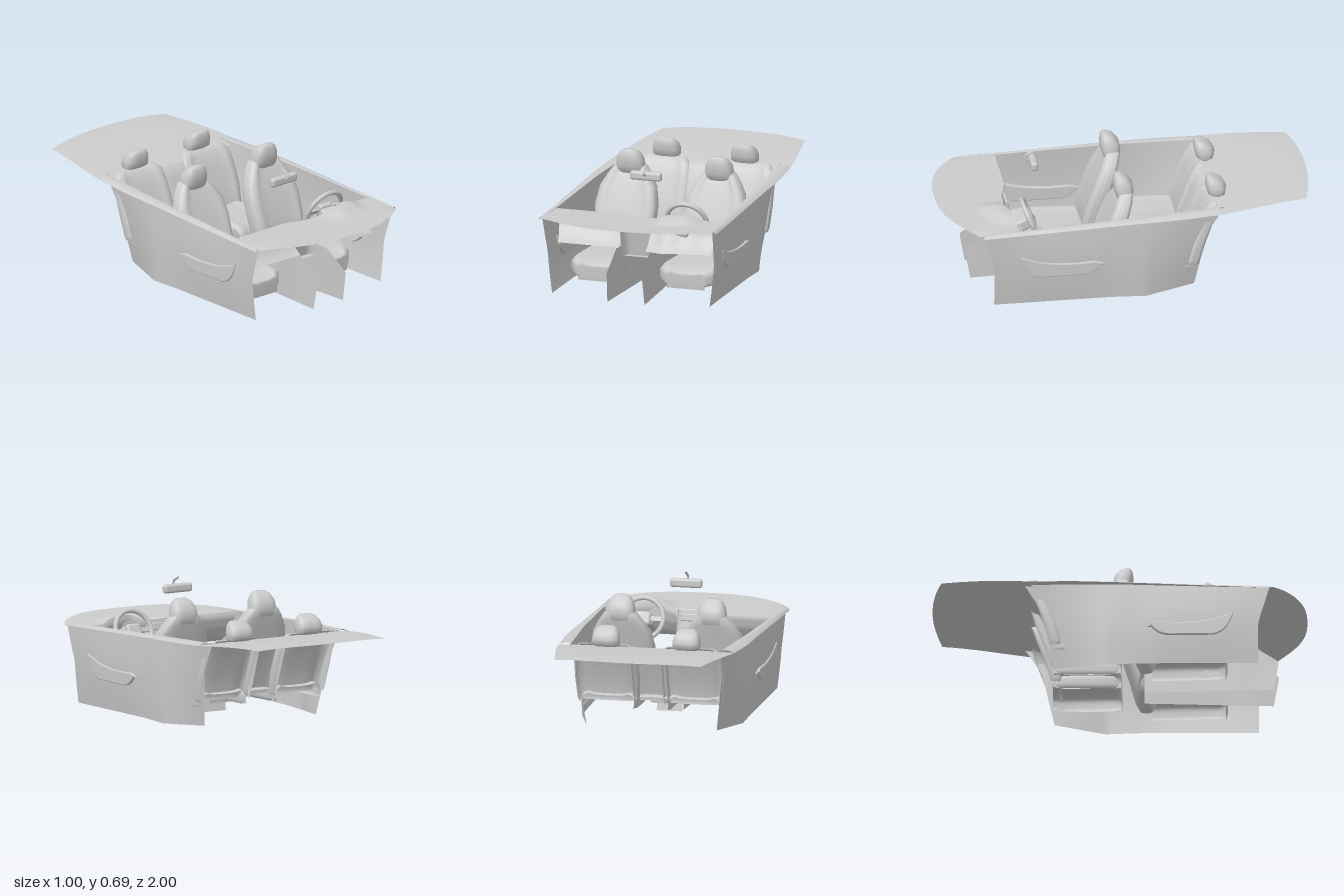
import * as THREE from 'three';
import { RoundedBoxGeometry } from 'three/addons/geometries/RoundedBoxGeometry.js';

const solid = new THREE.MeshStandardMaterial({ color: 0xcccccc });
const thin = new THREE.MeshStandardMaterial({ color: 0xcccccc, side: THREE.DoubleSide });
const V = (x, y, z) => new THREE.Vector3(x, y, z);
const mix = THREE.MathUtils.lerp;

// Piecewise linear lookup in ascending [t, value] pairs
function table(t, pts) {
  if (t <= pts[0][0]) return pts[0][1];
  for (let i = 1; i < pts.length; i++) {
    const [a, va] = pts[i - 1], [b, vb] = pts[i];
    if (t <= b) return mix(va, vb, (t - a) / (b - a));
  }
  return pts[pts.length - 1][1];
}

function add(parent, name, geo, mat = solid) {
  const m = new THREE.Mesh(geo, mat);
  m.name = name;
  parent.add(m);
  return m;
}

// Grid surface from f(u, v) -> [x, y, z], u and v in 0..1
function sheet(f, nu, nv) {
  const pos = [], idx = [];
  for (let j = 0; j <= nv; j++) for (let i = 0; i <= nu; i++) pos.push(...f(i / nu, j / nv));
  for (let j = 0; j < nv; j++) for (let i = 0; i < nu; i++) {
    const a = j * (nu + 1) + i, b = a + 1, c = a + nu + 1, d = c + 1;
    idx.push(a, b, d, a, d, c);
  }
  const g = new THREE.BufferGeometry();
  g.setAttribute('position', new THREE.Float32BufferAttribute(pos, 3));
  g.setIndex(idx);
  g.computeVertexNormals();
  return g;
}

// Upholstered body: rounded sections [x, y, z, halfWidth, halfDepth] along a path.
// The depth axis is z for upright bodies and y for lying ones. An open body is a
// shell without its hidden side; dish hollows the middle of the visible side.
function cushion(sections, { upright = false, open = false, dish = 0, power = 0.55 }) {
  const first = sections[0], last = sections[sections.length - 1];
  const rows = [[...first.slice(0, 3), 0, 0], ...sections, [...last.slice(0, 3), 0, 0]];
  if (open) { rows.shift(); rows.pop(); }
  const pw = (c) => Math.sign(c) * Math.pow(Math.abs(c), power);
  return sheet((u, v) => {
    const [x, y, z, w, d] = rows[Math.round(v * (rows.length - 1))];
    const a = open ? mix(-0.15, 1.15, u) * Math.PI : u * Math.PI * 2;
    const cx = pw(Math.cos(a));
    let off = pw(Math.sin(a)) * d;
    if (off > 0) off -= dish * Math.max(0, 1 - Math.pow(Math.abs(cx) / 0.75, 4));
    return upright ? [x + cx * w, y, z + off] : [x + cx * w, y + off, z];
  }, 40, rows.length - 1);
}

function seat(name, parts, openBack) {
  const g = new THREE.Group();
  g.name = name;
  add(g, 'seatCushion', cushion(parts.cushion, { open: true, dish: 0.015 }), thin);
  add(g, 'backrest', cushion(parts.back, { upright: true, open: openBack, dish: 0.018 }), thin);
  add(g, 'headrest', cushion(parts.head, { upright: true, power: 0.7 }), thin);
  return g;
}

// Height of the belt line and half widths of the sill along z
const beltY = (z) => table(z, [[-0.5, 0.49], [0, 0.475], [0.8, 0.44]]);
const sillOuter = (z) => table(z, [[-0.95, 0.4], [-0.63, 0.46], [-0.47, 0.48], [-0.25, 0.498], [0.8, 0.5]]);
const sillInner = (z) => table(z, [[-0.5, 0.41], [0, 0.445], [0.6, 0.465], [0.8, 0.48]]);

export function createModel() {
  const root = new THREE.Group();
  root.name = 'carInterior';

  // Dashboard top with a hood over the instruments
  const hood = (x) => Math.exp(-Math.pow((x - 0.24) / 0.11, 4));
  const rearZ = (x) => 0.605 + 0.035 * Math.exp(-Math.pow((x - 0.08) / 0.15, 4)) + 0.02 * hood(x);
  const dashY = (x, v) => 0.455 - 0.01 * v - 0.015 * Math.pow(Math.abs(x) / 0.48, 6) * (1 - v)
    + 0.035 * hood(x) * table(v, [[0.55, 0], [0.85, 1], [1, 0.9]]);
  add(root, 'dashboardTop', sheet((u, v) => {
    const s = u * 2 - 1, x = s * mix(0.485, 0.465, v);
    return [x, dashY(x, v), mix(1 - 0.18 * Math.abs(s) ** 2.5, rearZ(x), v)];
  }, 48, 16), thin);

  // Dashboard face on either side of the centre stack, curling under to the footwell
  for (const [x0, x1] of [[-1, -0.2], [0.18, 1]]) {
    add(root, 'dashboardFace', sheet((u, v) => {
      const x = mix(x0, x1, u) * mix(0.465, 0.43, v);
      return [x, mix(dashY(x, 1), 0.28, v),
        rearZ(x) + table(v, [[0, 0], [0.15, -0.008], [0.5, 0.01], [0.85, 0.05], [1, 0.085]])];
    }, 24, 12), thin);
  }

  // Centre stack sloping down to the console
  add(root, 'centreStack', sheet((u, v) => {
    const s = u * 2 - 1;
    return [s * 0.088, mix(0.443, 0.215, v), mix(0.632, 0.58, v) + 0.05 * s ** 8];
  }, 16, 6), thin);
  const screen = add(root, 'stackScreen', new RoundedBoxGeometry(0.11, 0.04, 0.015, 2, 0.006));
  screen.position.set(0, 0.405, 0.613);
  screen.rotation.x = 0.2;

  // Instrument dials
  for (const x of [0.19, 0.29]) {
    const dial = add(root, 'instrumentDial', new THREE.CylinderGeometry(0.045, 0.045, 0.03, 24));
    dial.position.set(x, 0.415, 0.65);
    dial.rotation.x = Math.PI / 2;
    dial.scale.z = 0.6;
  }

  // Steering wheel, leaning forward at the top
  const wheel = new THREE.Group();
  wheel.name = 'steeringWheel';
  wheel.position.set(0.24, 0.412, 0.515);
  wheel.rotation.x = 0.42;
  add(wheel, 'wheelRim', new THREE.TorusGeometry(0.112, 0.013, 10, 40));
  add(wheel, 'wheelHub', new RoundedBoxGeometry(0.09, 0.075, 0.035, 3, 0.016));
  for (const [x, y, w, h] of [[-0.075, 0, 0.07, 0.025], [0.075, 0, 0.07, 0.025], [0, -0.07, 0.035, 0.07]]) {
    add(wheel, 'wheelSpoke', new THREE.BoxGeometry(w, h, 0.012)).position.set(x, y, 0);
  }
  add(wheel, 'columnShroud', new RoundedBoxGeometry(0.1, 0.065, 0.13, 3, 0.015)).position.set(0, 0, 0.08);
  const stalk = add(wheel, 'columnStalk', new THREE.CylinderGeometry(0.005, 0.007, 0.09, 8));
  stalk.rotation.z = Math.PI / 2;
  stalk.position.set(0.08, 0.01, 0.065);
  root.add(wheel);

  // Doors, armrests, sills and tunnel walls on both sides
  for (const s of [-1, 1]) {
    const side = s > 0 ? 'left' : 'right';
    add(root, side + 'DoorPanel', sheet((u, v) => {
      const zFront = table(v, [[0, 0.74], [0.53, 0.74], [1, 0.8]]);
      const zBack = table(v, [[0, -0.35], [0.7, -0.42], [1, -0.51]]);
      const z = mix(zBack, zFront, u);
      const low = table(z, [[-0.4, 0.34], [-0.08, 0.44], [0.8, 0.445]]);
      const bulge = 0.008 + 0.008 * Math.exp(-(((z - 0.38) / 0.25) ** 4));
      const base = table(z, [[-0.35, 0.02], [-0.08, 0.005], [0.1, 0.012]]);
      return [s * (mix(low, sillInner(z), v) + bulge * Math.sin(v * Math.PI)), mix(base, beltY(z), v), z];
    }, 40, 16), thin);

    const arm = new THREE.Shape();
    arm.moveTo(-0.6, 0.29);
    arm.quadraticCurveTo(-0.57, 0.19, -0.5, 0.175);
    arm.lineTo(-0.26, 0.175);
    arm.quadraticCurveTo(-0.2, 0.18, -0.17, 0.23);
    arm.lineTo(-0.2, 0.24);
    arm.quadraticCurveTo(-0.45, 0.22, -0.6, 0.29);
    const rest = add(root, side + 'Armrest', new THREE.ExtrudeGeometry(arm, {
      depth: 0.016, bevelEnabled: true, bevelSize: 0.006, bevelThickness: 0.006, bevelSegments: 2, curveSegments: 10 }));
    rest.rotation.y = Math.PI / 2;
    rest.position.x = s * 0.461 - 0.008;
    const handle = add(root, side + 'DoorHandle', new RoundedBoxGeometry(0.02, 0.015, 0.03, 2, 0.006));
    handle.position.set(s * 0.458, 0.225, 0.165);

    add(root, side + 'Sill', sheet((u, v) => {
      const z = mix(-0.48, 0.8, v);
      return [s * mix(sillInner(z), sillOuter(z), u), beltY(z) + 0.008 * Math.sin(u * Math.PI) - 0.012 * u, z];
    }, 4, 20), thin);

    add(root, side + 'TunnelWall', sheet((u, v) => {
      const z = mix(0.13, table(v, [[0, 0.82], [0.62, 0.85], [1, 0.7]]), u);
      const top = table(z, [[0.13, 0.19], [0.5, 0.21], [0.65, 0.28]]);
      return [s * mix(table(z, [[0.13, 0.068], [0.82, 0.105]]), table(z, [[0.13, 0.065], [0.7, 0.095]]), v),
        mix(0.012, top, v), z];
    }, 14, 8), thin);
  }

  // Console top, curling down to the floor at its rear end
  add(root, 'consoleTop', sheet((u, v) => [
    (u * 2 - 1) * mix(0.07, 0.082, v),
    table(v, [[0, 0.012], [0.04, 0.15], [0.1, 0.19], [0.75, 0.21], [1, 0.22]]),
    mix(0.09, 0.62, v)], 4, 25), thin);
  add(root, 'gearBase', new RoundedBoxGeometry(0.08, 0.02, 0.1, 2, 0.008)).position.set(0, 0.213, 0.47);
  add(root, 'gearStick', new THREE.CylinderGeometry(0.007, 0.01, 0.08, 10)).position.set(0, 0.25, 0.47);
  add(root, 'gearKnob', new THREE.SphereGeometry(0.018, 16, 12)).position.set(0, 0.295, 0.47);

  // Front and rear seats
  for (const s of [-1, 1]) {
    const side = s > 0 ? 'Left' : 'Right';
    const f = s * 0.25, r = s * 0.235, h = s * 0.22;
    root.add(seat('front' + side + 'Seat', {
      cushion: [[f, 0.105, 0.17, 0.16, 0.06], [f, 0.11, 0.3, 0.163, 0.062], [f, 0.115, 0.45, 0.168, 0.06],
        [f, 0.112, 0.52, 0.163, 0.056], [f, 0.106, 0.55, 0.135, 0.052], [f, 0.102, 0.568, 0.115, 0.05],
        [f, 0.1, 0.574, 0.108, 0.04], [f, 0.05, 0.565, 0.106, 0]],
      back: [[f, 0.1, 0.14, 0.13, 0.04], [f, 0.14, 0.14, 0.155, 0.06], [f, 0.25, 0.115, 0.168, 0.065],
        [f, 0.36, 0.08, 0.172, 0.062], [f, 0.45, 0.05, 0.155, 0.056], [f, 0.51, 0.025, 0.12, 0.05],
        [f, 0.555, 0.01, 0.088, 0.042], [f, 0.572, 0.005, 0.06, 0.025]],
      head: [[f, 0.508, 0.01, 0.07, 0.02], [f, 0.52, 0.012, 0.078, 0.042], [f, 0.56, 0.016, 0.078, 0.053],
        [f, 0.6, 0.022, 0.072, 0.051], [f, 0.632, 0.033, 0.056, 0.036], [f, 0.648, 0.043, 0.036, 0.016]],
    }, false));
    root.add(seat('rear' + side + 'Seat', {
      cushion: [[r, 0.15, -0.36, 0.14, 0.05], [r, 0.15, -0.3, 0.158, 0.056], [r, 0.15, -0.15, 0.16, 0.06],
        [r, 0.15, -0.04, 0.155, 0.058], [r, 0.145, 0, 0.14, 0.045], [r, 0.12, 0.012, 0.125, 0.03],
        [r, 0.1, 0.01, 0.125, 0]],
      back: [[r, 0.15, -0.345, 0.16, 0.04], [r, 0.17, -0.345, 0.168, 0.045], [r, 0.28, -0.375, 0.175, 0.048],
        [r, 0.4, -0.42, 0.172, 0.045], [r, 0.465, -0.445, 0.16, 0.038], [r, 0.488, -0.46, 0.135, 0.022],
        [r, 0.49, -0.475, 0.12, 0]],
      head: [[h, 0.485, -0.485, 0.06, 0.025], [h, 0.497, -0.487, 0.074, 0.046], [h, 0.53, -0.486, 0.074, 0.054],
        [h, 0.56, -0.476, 0.066, 0.046], [h, 0.58, -0.463, 0.053, 0.03], [h, 0.59, -0.452, 0.035, 0.013]],
    }, true));
  }
  add(root, 'rearCentreCushion', cushion([[0, 0.145, -0.35, 0.09, 0.04], [0, 0.145, -0.3, 0.1, 0.05],
    [0, 0.145, -0.03, 0.1, 0.05], [0, 0.14, 0.005, 0.09, 0.035], [0, 0.07, 0.012, 0.085, 0]], { open: true }), thin);
  add(root, 'rearCentreBackrest', cushion([[0, 0.16, -0.345, 0.09, 0.03], [0, 0.2, -0.35, 0.1, 0.035],
    [0, 0.4, -0.425, 0.1, 0.035], [0, 0.46, -0.45, 0.1, 0.025], [0, 0.478, -0.475, 0.1, 0]],
    { upright: true, open: true }), thin);

  // Strip closing the gap between the rear seat tops and the shelf
  add(root, 'seatTopStrip', sheet((u, v) => [
    (u * 2 - 1) * 0.415, mix(0.465, 0.482, v), mix(-0.43, -0.475, v)], 8, 2), thin);

  // Parcel shelf rising from the seat tops to the tail
  add(root, 'parcelShelf', sheet((u, v) => {
    const s = u * 2 - 1, z = mix(-0.47, -1 + 0.05 * s * s, v);
    const y = mix(0.482, 0.515, Math.sin(v * Math.PI / 2));
    return [s * sillOuter(z), y - mix(0.005, 0.012, v) * s ** 4, z];
  }, 32, 16), thin);

  // Rear view mirror on a bent stem
  const mirror = new THREE.Group();
  mirror.name = 'rearViewMirror';
  add(mirror, 'mirrorHousing', new RoundedBoxGeometry(0.175, 0.048, 0.038, 4, 0.014)).position.set(-0.008, 0.628, 0.468);
  const stem = new THREE.CatmullRomCurve3([V(-0.008, 0.635, 0.485), V(-0.008, 0.645, 0.508), V(-0.008, 0.665, 0.5), V(-0.008, 0.686, 0.46)]);
  add(mirror, 'mirrorStem', new THREE.TubeGeometry(stem, 16, 0.006, 8), thin);
  root.add(mirror);

  return root;
}
